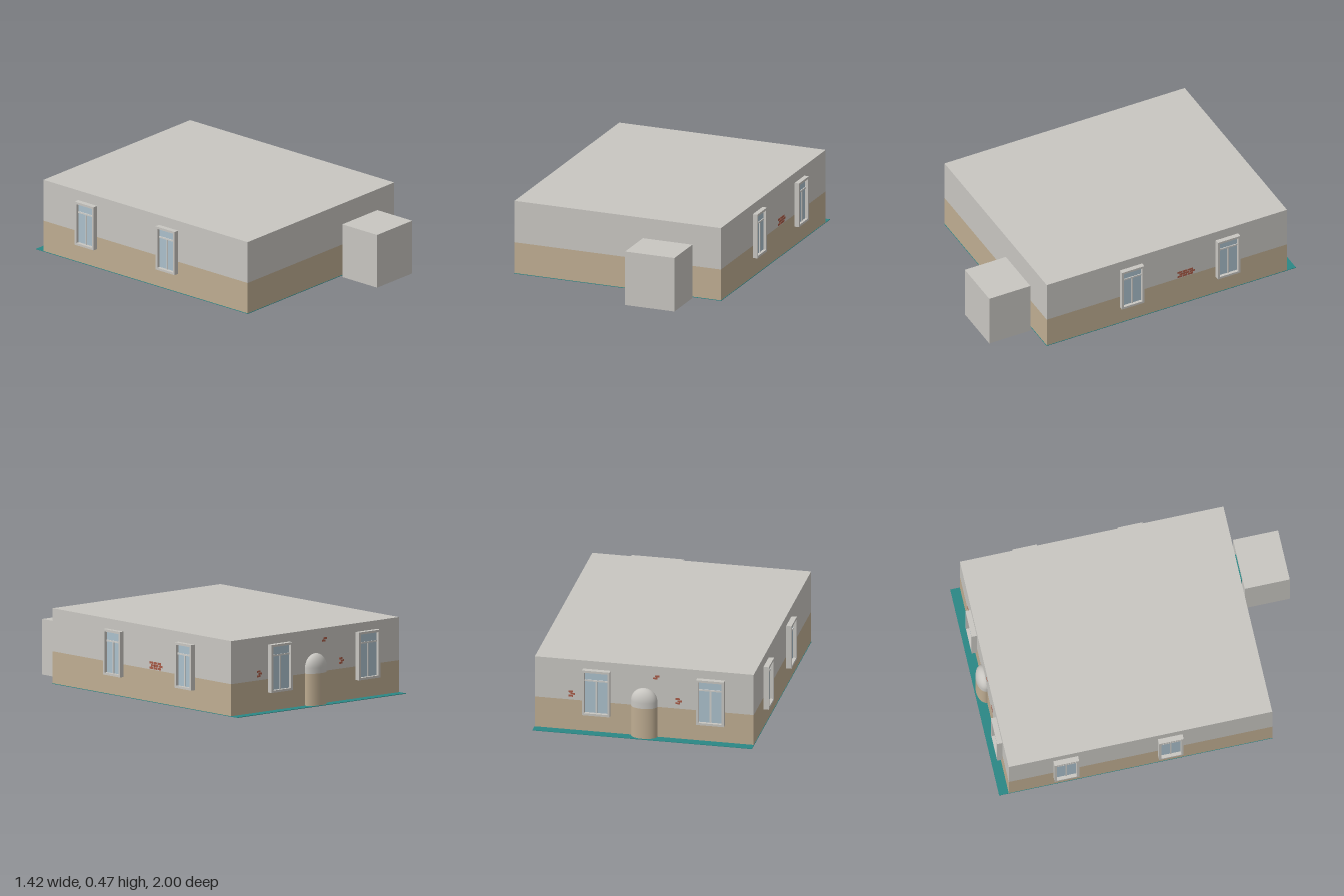
import * as THREE from 'three';

const mat = (name, color, extra = {}) => {
  const m = new THREE.MeshStandardMaterial({ color, ...extra });
  m.name = name;
  return m;
};

export function createModel() {
  const plaster = mat('grey plaster', 0xc8c6c1);
  const tan = mat('tan base', 0xbfad92);
  const teal = mat('teal', 0x2b8785);
  const glass = mat('pale blue glass', 0xabc0cc);
  const bar = mat('off white bars', 0xcfcfcc);
  const brick = mat('red brick', 0xa85c48);

  const model = new THREE.Group();
  model.name = 'house';

  const add = (parent, name, geometry, material) => {
    const mesh = new THREE.Mesh(geometry, material);
    mesh.name = name;
    parent.add(mesh);
    return mesh;
  };
  // Box given by its lower and upper limits on each axis
  const box = (parent, name, material, [x0, x1], [y0, y1], [z0, z1]) => {
    const g = new THREE.BoxGeometry(x1 - x0, y1 - y0, z1 - z0);
    g.translate((x0 + x1) / 2, (y0 + y1) / 2, (z0 + z1) / 2);
    return add(parent, name, g, material);
  };

  // Ground slab and the two-tone building
  box(model, 'groundSlab', teal, [-0.682, 0.682], [0, 0.003], [-1, 0.702]);
  box(model, 'lowerWalls', tan, [-0.68, 0.68], [0.001, 0.2], [-0.94, 0.7]);
  box(model, 'upperWalls', plaster, [-0.68, 0.68], [0.2, 0.465], [-0.94, 0.7]);

  // Front door and the block standing before it
  box(model, 'door', teal, [0.25, 0.42], [0, 0.3], [0.69, 0.72]);
  box(model, 'frontBlock', plaster, [0.175, 0.5], [0, 0.342], [0.72, 1]);

  // Rounded half column on the back wall: tan foot, plaster shaft and dome
  const column = new THREE.Group();
  column.name = 'backColumn';
  column.position.z = -0.94;
  column.scale.z = 0.63;
  model.add(column);
  const lathe = (name, points, material) =>
    add(column, name, new THREE.LatheGeometry(points, 32), material);
  lathe('columnFoot', [new THREE.Vector2(0.082, 0), new THREE.Vector2(0.082, 0.2)], tan);
  const dome = [new THREE.Vector2(0.082, 0.2)];
  for (let i = 0; i <= 12; i++) {
    const a = (i / 12) * Math.PI / 2;
    dome.push(new THREE.Vector2(0.082 * Math.cos(a), 0.235 + 0.082 * Math.sin(a)));
  }
  lathe('columnDome', dome, plaster);

  // Window: projecting frame, recessed glass, transom and mullion, facing +z
  const makeWindow = (name, w, h, depth) => {
    const win = new THREE.Group();
    win.name = name;
    const t = 0.014, a = w / 2, b = h / 2;
    const rect = (Type, x, y) => new Type([
      new THREE.Vector2(-x, -y), new THREE.Vector2(x, -y),
      new THREE.Vector2(x, y), new THREE.Vector2(-x, y)]);
    const shape = rect(THREE.Shape, a, b);
    shape.holes.push(rect(THREE.Path, a - t, b - t));
    add(win, 'windowFrame',
      new THREE.ExtrudeGeometry(shape, { depth, bevelEnabled: false }), plaster);
    box(win, 'windowGlass', glass, [-a + t, a - t], [-b + t, b - t], [0.004, 0.011]);
    const ty = b - 0.07;
    box(win, 'transom', bar, [-a + t, a - t], [ty - 0.005, ty + 0.005], [0.008, 0.016]);
    box(win, 'mullion', bar, [-0.005, 0.005], [-b + t, ty], [0.008, 0.016]);
    model.add(win);
    return win;
  };
  for (const z of [0.125, -0.53]) {
    const w = makeWindow('leftWindow', 0.153, 0.28, 0.03);
    w.position.set(0.68, 0.262, z);
    w.rotation.y = Math.PI / 2;
  }
  for (const z of [0.065, -0.585]) {
    const w = makeWindow('rightWindow', 0.153, 0.28, 0.033);
    w.position.set(-0.68, 0.262, z);
    w.rotation.y = -Math.PI / 2;
  }
  for (const x of [-0.415, 0.295]) {
    const w = makeWindow('backWindow', 0.172, 0.295, 0.032);
    w.position.set(x, 0.264, -0.94);
    w.rotation.y = Math.PI;
  }

  // Exposed brick patches: staggered thin plates, facing +z
  const makeBricks = (name, rows, cols, w, h) => {
    const patch = new THREE.Group();
    patch.name = name;
    for (let r = 0; r < rows; r++) for (let c = 0; c < cols; c++) {
      const x = (c - cols / 2 + (r % 2) * 0.4) * w, y = (r - rows / 2) * h;
      box(patch, 'brick', brick, [x, x + w * 0.92], [y, y + h * 0.86], [-0.001, 0.001]);
    }
    model.add(patch);
    return patch;
  };
  const side = makeBricks('leftBricks', 3, 3, 0.036, 0.016);
  side.position.set(0.68, 0.228, -0.245);
  side.rotation.y = Math.PI / 2;
  for (const [x, y, rows] of [[0.455, 0.24, 3], [-0.21, 0.25, 3], [-0.07, 0.395, 2]]) {
    const p = makeBricks('backBricks', rows, 1, 0.03, 0.014);
    p.position.set(x, y, -0.94);
    p.rotation.y = Math.PI;
  }

  return model;
}
